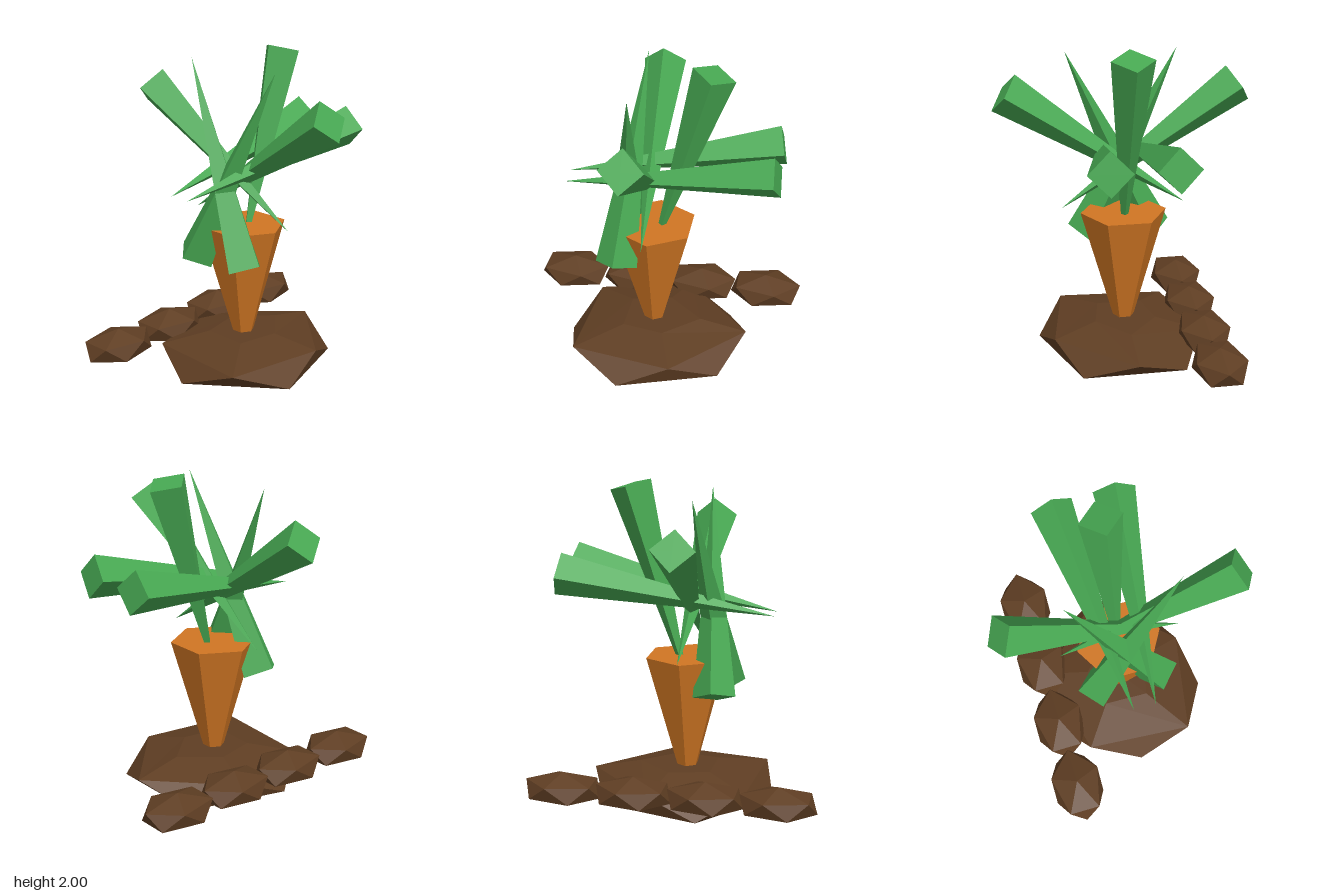
import * as THREE from 'three';

const flat = (name, color) => {
  const m = new THREE.MeshStandardMaterial({ color, flatShading: true });
  m.name = name;
  return m;
};

// Closed five-sided blob from rings of { y, r: number or five radii, turn in degrees }
function blobGeometry(bottomY, rings, topY) {
  const rows = rings.map(({ y, r, turn }) => Array.from({ length: 5 }, (_, i) => {
    const a = THREE.MathUtils.degToRad(turn + 72 * i);
    const d = Array.isArray(r) ? r[i] : r;
    return [d * Math.cos(a), y, d * Math.sin(a)];
  }));
  const pos = [];
  const tri = (a, b, c) => pos.push(...a, ...b, ...c);
  const first = rows[0], last = rows[rows.length - 1];
  for (let i = 0; i < 5; i++) {
    const j = (i + 1) % 5;
    tri([0, bottomY, 0], first[i], first[j]);
    for (let k = 0; k + 1 < rows.length; k++) {
      const lo = rows[k], up = rows[k + 1];
      tri(lo[i], up[i], up[j]);
      tri(lo[j], lo[i], up[j]);
    }
    tri([0, topY, 0], last[j], last[i]);
  }
  const g = new THREE.BufferGeometry();
  g.setAttribute('position', new THREE.Float32BufferAttribute(pos, 3));
  g.computeVertexNormals();
  return g;
}

// Four-sided spike from its wide end to its tip; one pair of corners follows `side`
function leafMesh(base, tip, side, material) {
  const b = new THREE.Vector3(...base), t = new THREE.Vector3(...tip);
  const dir = t.clone().sub(b);
  const length = dir.length();
  dir.normalize();
  const u = new THREE.Vector3(...side);
  u.addScaledVector(dir, -u.dot(dir)).normalize();
  const mesh = new THREE.Mesh(new THREE.ConeGeometry(0.13, length, 4), material);
  mesh.quaternion.setFromRotationMatrix(
    new THREE.Matrix4().makeBasis(u, dir, u.clone().cross(dir)));
  mesh.position.copy(b).add(t).multiplyScalar(0.5);
  return mesh;
}

export function createModel() {
  const model = new THREE.Group();
  const soil = flat('soil brown', 0x5f3e23);
  const orange = flat('carrot orange', 0xd07623);
  const green = flat('leaf green', 0x47a852);
  const add = (name, mesh) => {
    mesh.name = name;
    model.add(mesh);
    return mesh;
  };

  // Flat-topped mound of earth
  add('mound', new THREE.Mesh(blobGeometry(0, [
    { y: 0.04, r: [0.54, 0.55, 0.56, 0.53, 0.54], turn: 36 },
    { y: 0.165, r: [0.575, 0.48, 0.59, 0.53, 0.48], turn: 0 },
    { y: 0.228, r: [0.28, 0.2, 0.24, 0.23, 0.2], turn: 0 },
  ], 0.232), soil));

  // Row of clods along the back
  const clod = blobGeometry(-1, [
    { y: -0.447, r: 0.894, turn: 36 },
    { y: 0.447, r: 0.894, turn: 0 },
  ], 1);
  for (const x of [-0.65, -0.217, 0.217, 0.65]) {
    const m = add('clod', new THREE.Mesh(clod, soil));
    m.scale.set(0.257, 0.105, 0.182);
    m.position.set(x, 0.185, -0.467);
  }

  // Tapered hexagonal root
  const root = add('root', new THREE.Mesh(
    new THREE.CylinderGeometry(0.265, 0.03, 0.83, 6), orange));
  root.position.set(-0.02, 0.515, 0);

  // Leaves: one upright, then three mirrored pairs
  const X = [1, 0, 0], Z = [0, 0, 1];
  add('uprightLeaf', leafMesh([0.328, 1.965, 0], [-0.035, 0.7, 0], Z, green));
  for (const s of [1, -1]) {
    add('sideLeaf', leafMesh([0.733, 1.443, 0.195 * s], [-0.558, 1.21, 0.066 * s], Z, green));
    add('raisedLeaf', leafMesh([-0.075, 1.698, 0.707 * s], [-0.032, 0.965, -0.38 * s], X, green));
    add('droopingLeaf', leafMesh([-0.22, 0.73, 0.2 * s], [-0.112, 1.925, -0.338 * s], X, green));
  }
  return model;
}
